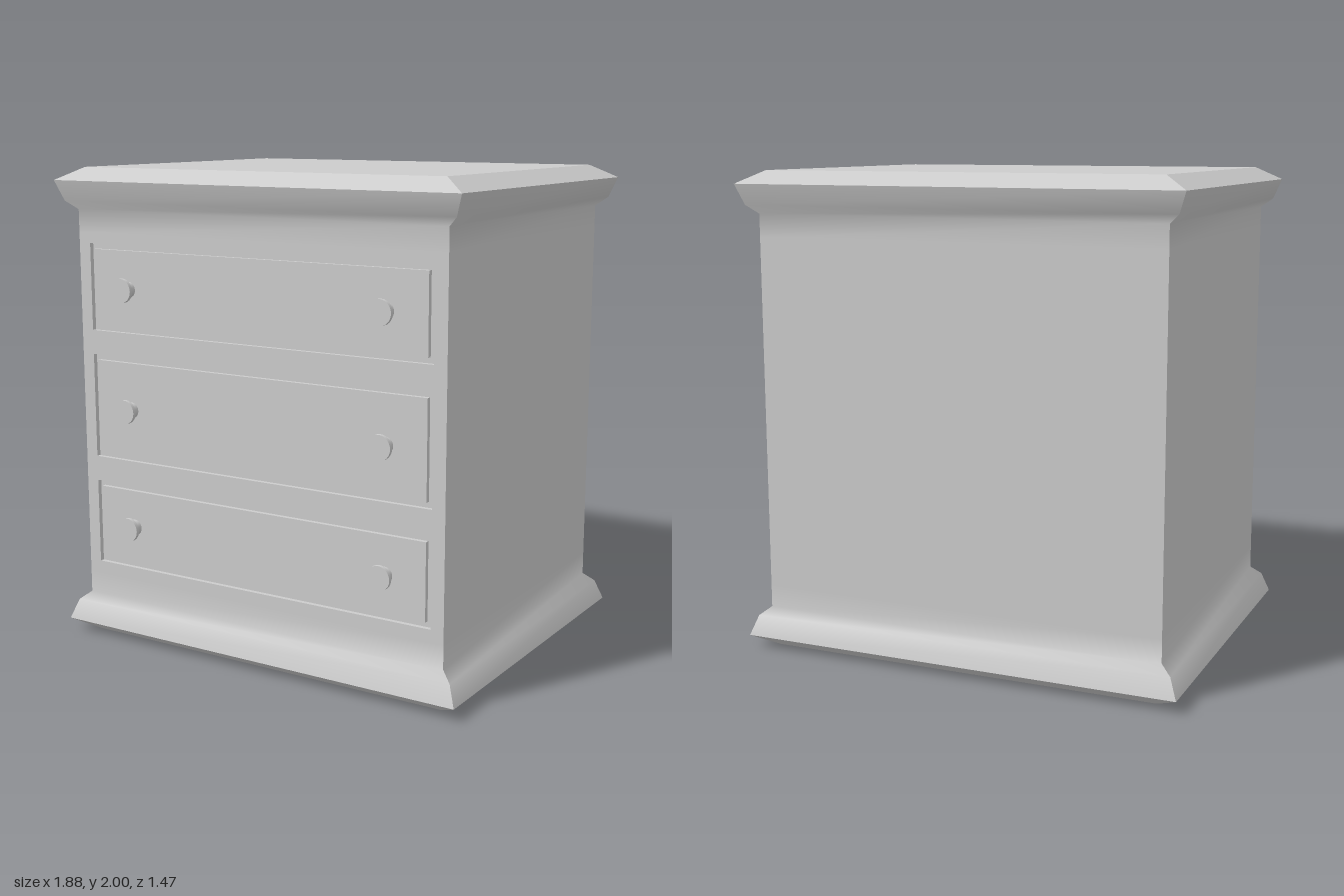
import * as THREE from 'three';

const material = new THREE.MeshStandardMaterial({ color: 0xcccccc });
const FRONT = 0.677, HALF_W = 0.863, GROOVE = 0.02;
const LOW = 0.27, HIGH = 1.73;

// Lower moulding cross-section, [half width, half depth, height]; mirrored for the cornice
const base = [[0.94, 0.736, 0.053], [0.908, 0.71, 0.137], [HALF_W, FRONT, 0.173], [HALF_W, FRONT, LOW]];
const foot = [[0.84, 0.655, 0], base[0]];
const wall = [[HALF_W, FRONT, LOW], [HALF_W, FRONT, HIGH]];
const flip = (band) => band.map(([x, z, y]) => [x, z, 2 - y]).reverse();

const drawers = [[0.32, 0.68], [0.785, 1.225], [1.327, 1.69]]; // bottom and top of each opening
const OPEN_W = 0.807, GAP = 0.023;

function add(parent, name, geometry, x = 0, y = 0, z = 0) {
  const mesh = new THREE.Mesh(geometry, material);
  mesh.name = name;
  mesh.position.set(x, y, z);
  parent.add(mesh);
  return mesh;
}

// One side of a rectangular band: smooth up its profile, sharp at the corners
function bandSide(band, side) {
  const corners = [[-1, 1], [1, 1], [1, -1], [-1, -1]];
  const pos = [], index = [];
  band.forEach(([x, z, y], i) => {
    for (const c of [corners[side], corners[(side + 1) % 4]]) pos.push(c[0] * x, y, c[1] * z);
    const a = i * 2;
    if (i < band.length - 1) index.push(a, a + 1, a + 3, a, a + 3, a + 2);
  });
  const g = new THREE.BufferGeometry();
  g.setAttribute('position', new THREE.Float32BufferAttribute(pos, 3));
  g.setIndex(index);
  g.computeVertexNormals();
  return g;
}

function rectangle(path, w, y0, y1) {
  path.moveTo(-w, y0);
  path.lineTo(w, y0);
  path.lineTo(w, y1);
  path.lineTo(-w, y1);
  path.closePath();
  return path;
}

export function createModel() {
  const model = new THREE.Group();
  model.name = 'chestOfDrawers';

  // Carcass with flared plinth and cornice
  const carcass = new THREE.Group();
  carcass.name = 'carcass';
  model.add(carcass);
  const bands = { foot, plinth: base, wall, cornice: flip(base), topBevel: flip(foot) };
  for (const [name, band] of Object.entries(bands)) {
    for (let side = 0; side < 4; side++) {
      if (name === 'wall' && side === 0) continue; // replaced by the front frame
      add(carcass, name, bandSide(band, side));
    }
  }
  add(carcass, 'top', new THREE.PlaneGeometry(1.68, 1.31).rotateX(-Math.PI / 2), 0, 2, 0);
  add(carcass, 'underside', new THREE.PlaneGeometry(1.68, 1.31).rotateX(Math.PI / 2));

  // Front frame with drawer openings, and the floor of the grooves behind it
  const frame = rectangle(new THREE.Shape(), HALF_W, LOW, HIGH);
  for (const [y0, y1] of drawers) frame.holes.push(rectangle(new THREE.Path(), OPEN_W, y0, y1));
  add(carcass, 'frontFrame',
    new THREE.ExtrudeGeometry(frame, { depth: GROOVE, bevelEnabled: false }), 0, 0, FRONT - GROOVE);
  add(carcass, 'grooveFloor',
    new THREE.PlaneGeometry(2 * OPEN_W + 0.02, HIGH - LOW), 0, 1, FRONT - GROOVE + 0.001);

  // Drawers with a pair of round knobs each
  const stem = new THREE.CylinderGeometry(0.033, 0.033, 0.04, 24).rotateX(Math.PI / 2);
  const cap = new THREE.CylinderGeometry(0.05, 0.05, 0.015, 24).rotateX(Math.PI / 2);
  for (const [y0, y1] of drawers) {
    const drawer = new THREE.Group();
    drawer.name = 'drawer';
    drawer.position.set(0, (y0 + y1) / 2, FRONT);
    model.add(drawer);
    add(drawer, 'drawerFront',
      new THREE.BoxGeometry(2 * (OPEN_W - GAP), y1 - y0 - 2 * GAP, GROOVE), 0, 0, -GROOVE / 2);
    for (const side of [-1, 1]) {
      add(drawer, 'knobStem', stem, side * 0.608, 0, 0.018);
      add(drawer, 'knobCap', cap, side * 0.608, 0, 0.045);
    }
  }
  return model;
}
